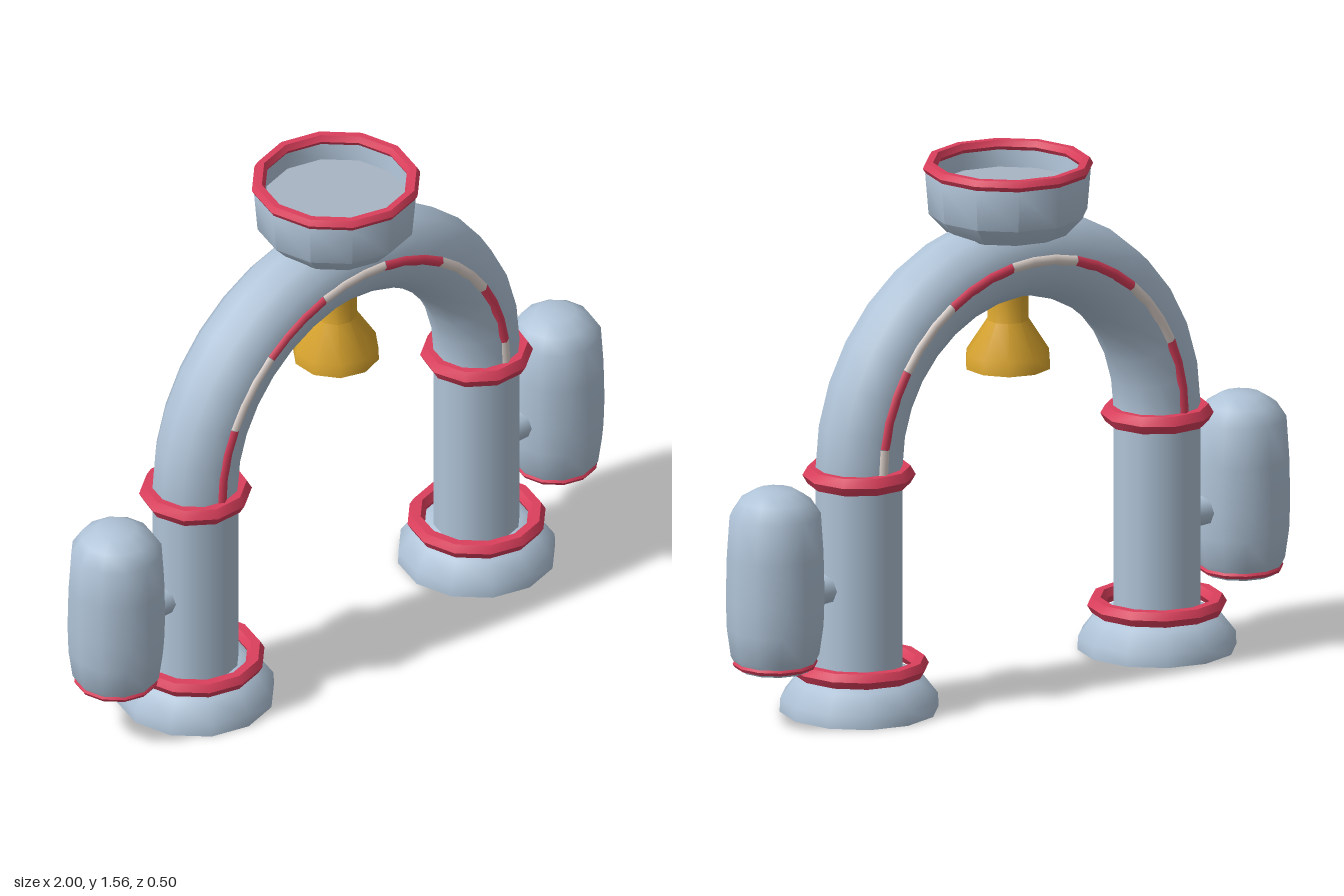
import * as THREE from 'three';
import { toCreasedNormals } from 'three/addons/utils/BufferGeometryUtils.js';

const paint = (name, color) => {
  const m = new THREE.MeshStandardMaterial({ color });
  m.name = name;
  return m;
};

export function createModel() {
  const steel = paint('pale steel blue', 0xb0c4d8);
  const grey = paint('soft grey', 0xa9b5c4);
  const red = paint('crimson', 0xdc3f5c);
  const cream = paint('cream', 0xe2d6d0);
  const gold = paint('gold', 0xdaa52e);

  const group = new THREE.Group();
  group.name = 'archway';

  const add = (parent, name, geometry, material, x = 0, y = 0, z = 0) => {
    const mesh = new THREE.Mesh(geometry, material);
    mesh.name = name;
    mesh.position.set(x, y, z);
    parent.add(mesh);
    return mesh;
  };
  // Turned part; the profile runs upward on its outer side
  const turned = (points, sides, crease = 0.8) => toCreasedNormals(
    new THREE.LatheGeometry(points.map(([r, y]) => new THREE.Vector2(r, y)), sides), crease);
  // Faceted horizontal ring
  const ring = (radius, tube, sides) => toCreasedNormals(
    new THREE.TorusGeometry(radius, tube, 6, sides).rotateX(Math.PI / 2), 0.6);

  const legX = 0.547, archY = 0.73, tubeR = 0.128;

  // Arch between the two legs
  add(group, 'arch', new THREE.TorusGeometry(legX, tubeR, 12, 16, Math.PI), steel, 0, archY);

  // Striped piping on both faces: 22 steps, three to a stripe
  const steps = 22;
  for (const side of [1, -1]) {
    for (let i = 0, stripe = 0; i < steps; i += 3, stripe++) {
      const points = [];
      for (let k = i; k <= Math.min(i + 3, steps); k++) {
        const a = Math.PI * (1 - k / steps);
        points.push(new THREE.Vector3(0.552 * Math.cos(a), archY + 0.552 * Math.sin(a), side * 0.116));
      }
      const path = new THREE.CatmullRomCurve3(points);
      add(group, side > 0 ? 'frontPiping' : 'backPiping',
        new THREE.TubeGeometry(path, 3, 0.018, 6), stripe % 2 ? cream : red);
    }
  }

  // Legs with hollow feet, rings and side pods
  const footProfile = [[0, 0.115], [0.12, 0.11], [0.18, 0.08], [0.222, 0.038], [0.224, 0],
    [0.233, 0], [0.232, 0.04], [0.19, 0.095], [0.135, 0.122], [0, 0.13]];
  const podProfile = [[0.105, 0.175], [0.13, 0.215], [0.142, 0.3], [0.145, 0.39],
    [0.142, 0.52], [0.134, 0.64], [0.105, 0.685], [0.06, 0.713], [0, 0.717]];
  for (const s of [1, -1]) {
    const leg = new THREE.Group();
    leg.name = s > 0 ? 'leftLeg' : 'rightLeg';
    leg.position.x = s * legX;
    group.add(leg);
    add(leg, 'pillar', new THREE.CylinderGeometry(tubeR, tubeR, 0.61, 12, 1, true), steel, 0, 0.425);
    add(leg, 'foot', turned(footProfile, 12), steel);
    add(leg, 'footRing', ring(0.179, 0.026, 12), red, 0, 0.133);
    add(leg, 'pillarRing', ring(0.135, 0.03, 10), red, 0, 0.708);

    const pod = new THREE.Group();
    pod.name = s > 0 ? 'leftPod' : 'rightPod';
    pod.position.x = s * 0.855;
    group.add(pod);
    add(pod, 'podBody', turned(podProfile, 12), steel);
    add(pod, 'podBase', new THREE.CircleGeometry(0.105, 12).rotateX(Math.PI / 2), grey, 0, 0.175);
    add(pod, 'podRing', ring(0.114, 0.011, 12), red, 0, 0.193);
    add(pod, 'podConnector', new THREE.CylinderGeometry(0.045, 0.045, 0.1, 8).rotateZ(Math.PI / 2),
      steel, s * -0.165, 0.383);
  }

  // Basin on top, with an inner floor and a rim
  add(group, 'basin', turned([[0, 1.355], [0.182, 1.355], [0.233, 1.41], [0.243, 1.53],
    [0.238, 1.548], [0.217, 1.54], [0.212, 1.48]], 12), steel);
  add(group, 'basinFloor', new THREE.CircleGeometry(0.216, 12).rotateX(-Math.PI / 2), grey, 0, 1.485);
  add(group, 'basinRim', ring(0.23, 0.02, 12), red, 0, 1.547);

  // Hollow bell under the crown of the arch
  add(group, 'bell', turned([[0, 1.06], [0.055, 1.06], [0.08, 0.943], [0.128, 0.943],
    [0.126, 0.985], [0.062, 1.085], [0.062, 1.19]], 10), gold);

  return group;
}
